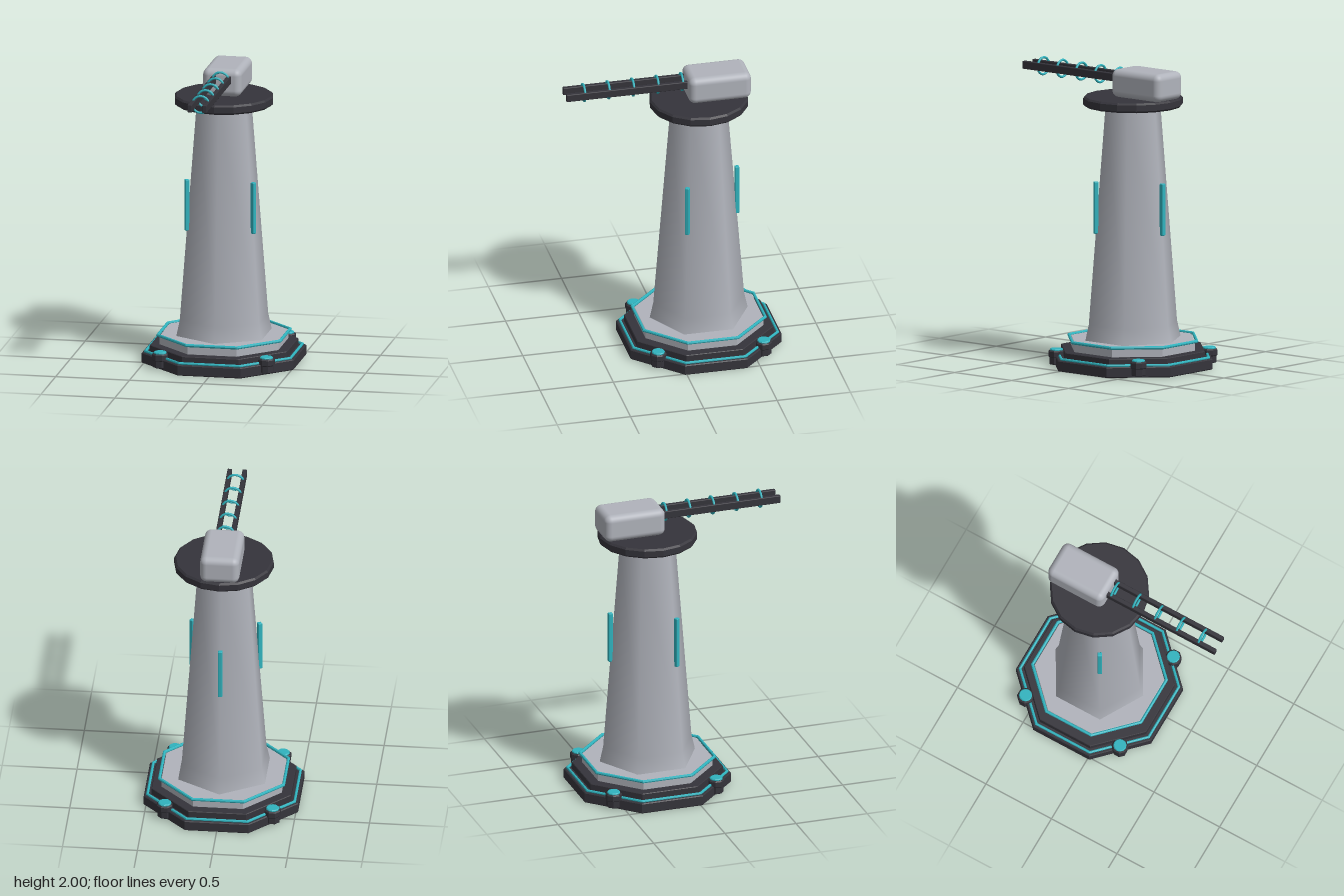
import * as THREE from 'three';
import { RoundedBoxGeometry } from 'three/addons/geometries/RoundedBoxGeometry.js';

const dark = new THREE.MeshStandardMaterial({ color: 0x35343b });
dark.name = 'charcoal metal';
const light = new THREE.MeshStandardMaterial({ color: 0xb0b3bb });
light.name = 'pale grey armour';
const teal = new THREE.MeshStandardMaterial({ color: 0x30b3be });
teal.name = 'teal glow';

const FLAT8 = Math.cos(Math.PI / 8); // apothem / radius of an octagon

function add(parent, name, geometry, material, x = 0, y = 0, z = 0) {
  const mesh = new THREE.Mesh(geometry, material);
  mesh.name = name;
  mesh.position.set(x, y, z);
  parent.add(mesh);
  return mesh;
}

function faceted(geometry) {
  const g = geometry.toNonIndexed();
  g.computeVertexNormals();
  return g;
}

// Solid faceted slab with small chamfers, standing from y0 to y1
function slab(radius, y0, y1, sides, bevel, phase = 0) {
  const profile = [
    [0.0001, y0], [radius - bevel, y0], [radius, y0 + bevel],
    [radius, y1 - bevel], [radius - bevel, y1], [0.0001, y1],
  ].map(([r, y]) => new THREE.Vector2(r, y));
  return faceted(new THREE.LatheGeometry(profile, sides, phase));
}

// Octagonal light tube lying flat
function octagonRing(apothem, tube) {
  const g = new THREE.TorusGeometry(apothem / FLAT8, tube, 8, 8);
  g.rotateZ(Math.PI / 8);
  g.rotateX(-Math.PI / 2);
  return faceted(g);
}

export function createModel() {
  const model = new THREE.Group();
  model.name = 'gunTower';

  // Everything round shares this axis, set back to balance the barrel
  const tower = new THREE.Group();
  tower.name = 'tower';
  tower.position.z = -0.2;
  model.add(tower);

  // Stepped octagonal base
  const oct = Math.PI / 8;
  add(tower, 'baseLowerStep', slab(0.515 / FLAT8, 0, 0.072, 8, 0.006, oct), dark);
  add(tower, 'baseUpperStep', slab(0.465 / FLAT8, 0.07, 0.12, 8, 0.004, oct), dark);
  add(tower, 'basePlinth', slab(0.402 / FLAT8, 0.118, 0.183, 8, 0.003, oct), light);
  add(tower, 'lowerGlowRing', octagonRing(0.491, 0.01), teal, 0, 0.078, 0);
  add(tower, 'upperGlowRing', octagonRing(0.414, 0.011), teal, 0, 0.184, 0);

  // Corner posts with glowing caps
  for (const sx of [-1, 1]) {
    for (const sz of [-1, 1]) {
      const post = new THREE.Group();
      post.name = 'cornerPost';
      post.position.set(sx * 0.36, 0, sz * 0.36);
      tower.add(post);
      add(post, 'postFoot', slab(0.05, 0.015, 0.07, 8, 0.004, oct), dark);
      add(post, 'postCollar', slab(0.056, 0.06, 0.11, 8, 0.008, oct), dark);
      add(post, 'postCap', slab(0.044, 0.105, 0.121, 12, 0.005), teal);
    }
  }

  // Tapered six-sided shaft with a flared foot, softly shaded
  const shaft = [[0.335, 0.18], [0.31, 0.29], [0.192, 1.76]];
  add(tower, 'shaft', new THREE.LatheGeometry(
    shaft.map(([r, y]) => new THREE.Vector2(r, y)), 6), light);

  // Three glow strips on alternate shaft corners
  for (let i = 0; i < 3; i++) {
    const a = Math.PI + i * Math.PI * 2 / 3;
    const strip = add(tower, 'glowStrip', new RoundedBoxGeometry(0.03, 0.35, 0.03, 2, 0.006),
      teal, Math.sin(a) * 0.26, 1.075, Math.cos(a) * 0.26);
    strip.rotation.y = a;
  }

  // Turning platform
  add(tower, 'turretPlatform', slab(0.332, 1.748, 1.813, 16, 0.012), dark);

  // Gun: rounded housing, twin rails and coil rings
  const gun = new THREE.Group();
  gun.name = 'gun';
  model.add(gun);
  add(gun, 'gunHousing', new RoundedBoxGeometry(0.262, 0.188, 0.425, 4, 0.045),
    light, 0, 1.906, -0.322);
  for (const s of [-1, 1]) {
    add(gun, 'barrelRail', new RoundedBoxGeometry(0.03, 0.053, 0.875, 1, 0.005),
      dark, s * 0.05, 1.932, 0.2775);
  }
  for (let i = 0; i < 5; i++) {
    add(gun, 'coilRing', new THREE.TorusGeometry(0.057, 0.008, 8, 20),
      teal, 0, 1.932, -0.082 + i * 0.167);
  }

  return model;
}
